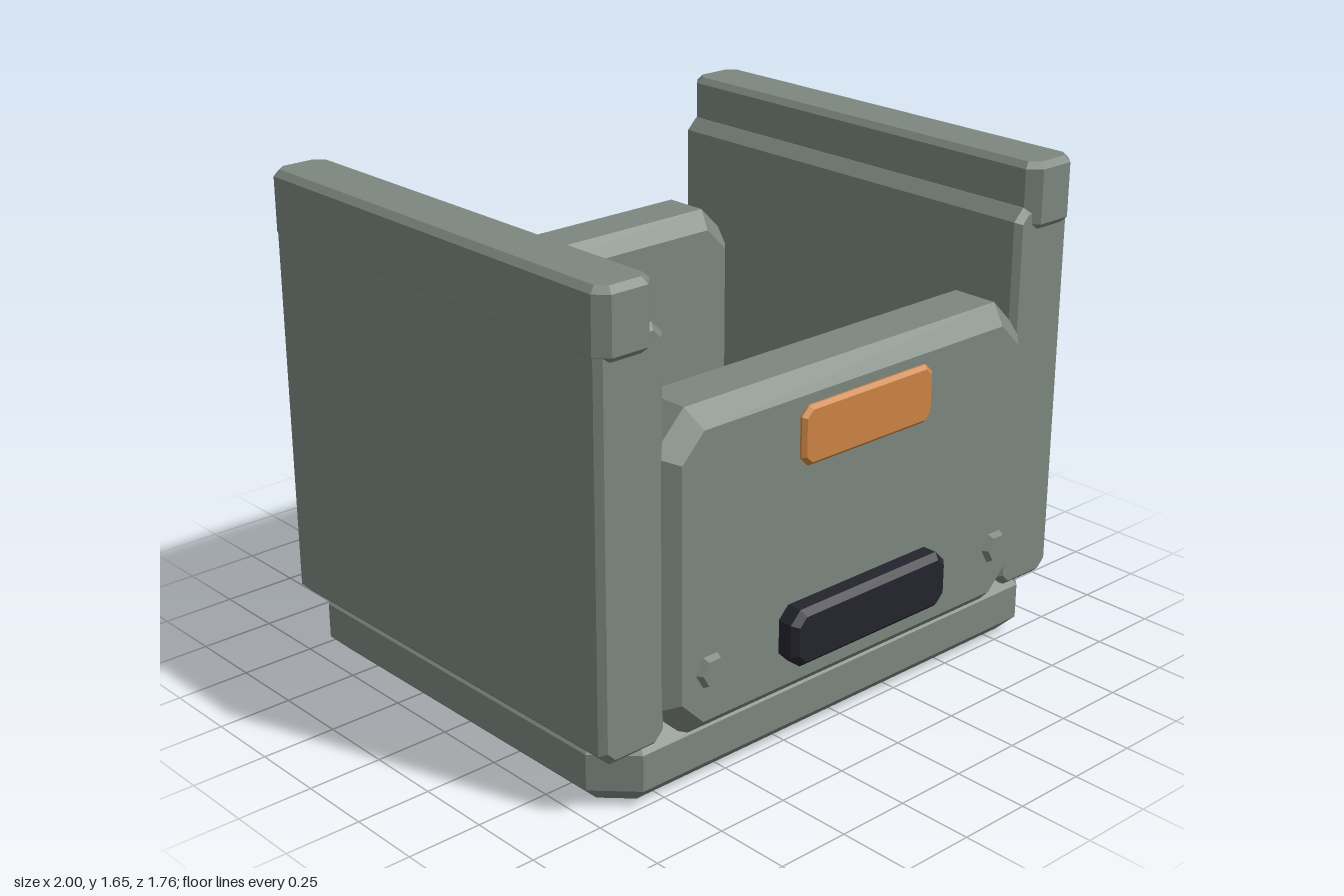
import * as THREE from 'three';

const material = (name, color) => {
  const m = new THREE.MeshStandardMaterial({ color });
  m.name = name;
  return m;
};

// Block with cut corners in its xy outline and bevelled ends along z
function chamferBlock(w, h, d, corner, bevel) {
  const ring = (inset, z) => {
    const x = w / 2 - inset, y = h / 2 - inset;
    const c = corner - inset * (2 - Math.SQRT2);
    return [
      [x, -y + c], [x, y - c], [x - c, y], [-x + c, y],
      [-x, y - c], [-x, -y + c], [-x + c, -y], [x - c, -y],
    ].map(([px, py]) => [px, py, z]);
  };
  const rings = [
    ring(bevel, -d / 2), ring(0, -d / 2 + bevel),
    ring(0, d / 2 - bevel), ring(bevel, d / 2),
  ];
  const pos = [];
  const tri = (a, b, c) => pos.push(...a, ...b, ...c);
  for (let r = 0; r < 3; r++) {
    for (let i = 0; i < 8; i++) {
      const j = (i + 1) % 8;
      const [a, b, c, e] = [rings[r][i], rings[r][j], rings[r + 1][j], rings[r + 1][i]];
      tri(a, b, c);
      tri(a, c, e);
    }
  }
  for (let i = 1; i < 7; i++) {
    tri(rings[3][0], rings[3][i], rings[3][i + 1]);
    tri(rings[0][0], rings[0][i + 1], rings[0][i]);
  }
  const g = new THREE.BufferGeometry();
  g.setAttribute('position', new THREE.Float32BufferAttribute(pos, 3));
  g.computeVertexNormals();
  return g;
}

export function createModel() {
  const group = new THREE.Group();
  const metal = material('greyGreenMetal', 0x7c867f);
  const orange = material('orangeLamp', 0xcc8444);
  const dark = material('darkBumper', 0x24242e);
  const midZ = -0.02;

  const add = (name, geometry, mat, x, y, z) => {
    const mesh = new THREE.Mesh(geometry, mat);
    mesh.name = name;
    mesh.position.set(x, y, z);
    group.add(mesh);
    return mesh;
  };

  // Floor slab, outline lying flat
  add('base', chamferBlock(1.92, 1.56, 0.24, 0.12, 0.06).rotateX(-Math.PI / 2), metal, 0, 0.12, midZ);

  // Side walls with a cap rail on top
  const wall = chamferBlock(0.25, 1.32, 1.56, 0.04, 0.02);
  const rail = chamferBlock(0.21, 1.6, 0.22, 0.04, 0.02).rotateX(-Math.PI / 2);
  for (const [side, s] of [['left', 1], ['right', -1]]) {
    add(side + 'Wall', wall, metal, s * 0.87, 0.85, midZ);
    add(side + 'Rail', rail, metal, s * 0.893, 1.545, midZ);
  }

  // Front and back panels with tapered hexagonal bolts
  const panel = chamferBlock(1.57, 1.05, 0.28, 0.12, 0.06);
  const bolt = new THREE.CylinderGeometry(0.045, 0.057, 0.02, 6)
    .toNonIndexed().rotateY(Math.PI / 6).rotateX(Math.PI / 2);
  bolt.computeVertexNormals();
  for (const [end, s] of [['front', 1], ['back', -1]]) {
    add(end + 'Panel', panel, metal, 0, 0.7, midZ + s * 0.682);
    for (const x of [-0.63, 0.63]) {
      const b = add(end + 'Bolt', bolt, metal, x, 0.412, midZ + s * 0.85);
      if (s < 0) b.rotation.y = Math.PI;
    }
  }

  // Front lamp and bumper
  add('lamp', chamferBlock(0.56, 0.19, 0.03, 0.03, 0.012), orange, 0, 1.05, 0.827);
  add('bumper', chamferBlock(0.68, 0.19, 0.09, 0.04, 0.02), dark, 0, 0.415, 0.835);

  return group;
}
